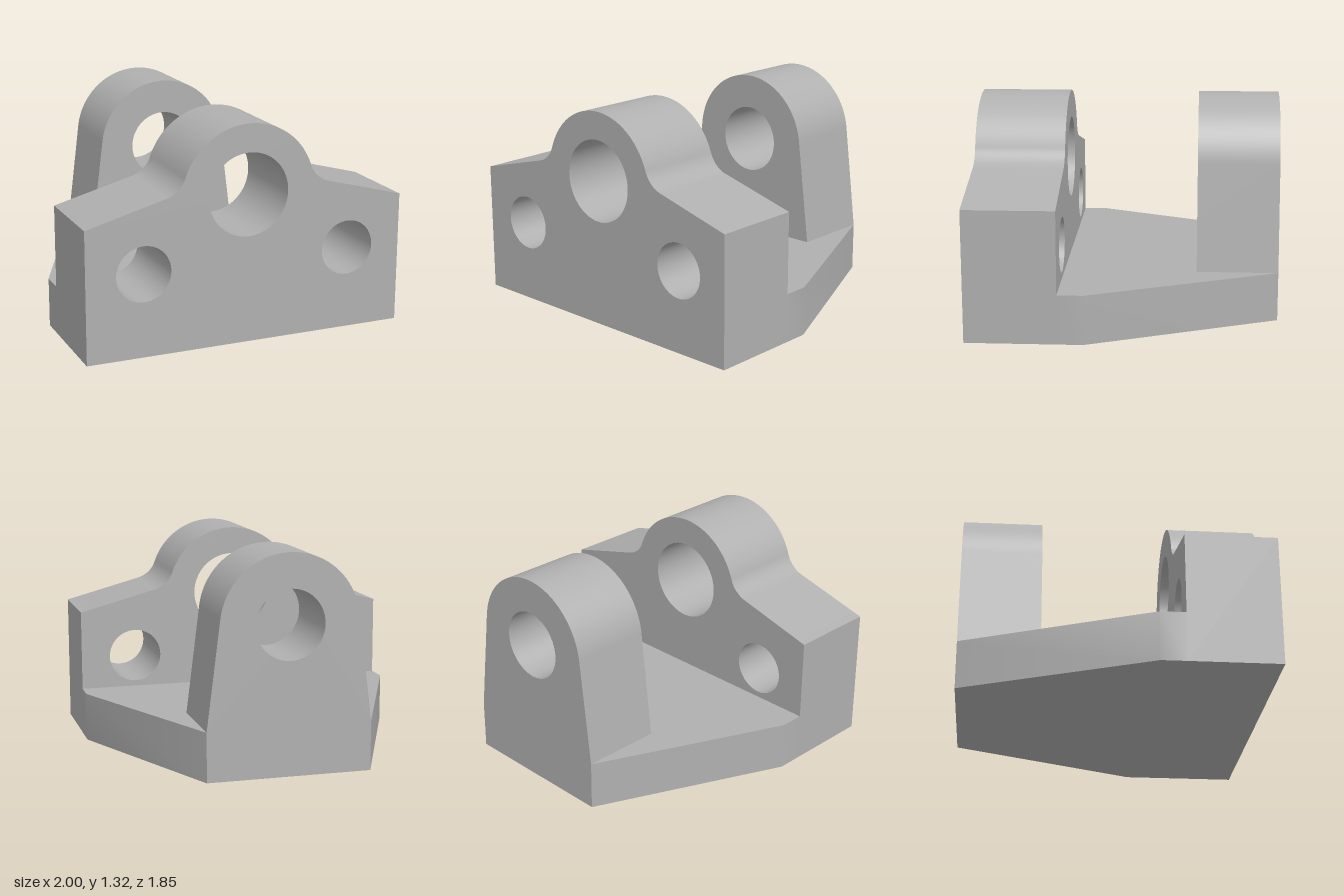
import * as THREE from 'three';
import { toCreasedNormals } from 'three/addons/utils/BufferGeometryUtils.js';

const BORE_Y = 0.9, BOSS_R = 0.42;
const BACK = -0.923, FRONT = 0.923, PLATE_BACK = 0.375, LUG_FRONT = -0.428;
const BASE_TOP = 0.3;

function addHole(shape, x, y, r) {
  const hole = new THREE.Path();
  hole.absarc(x, y, r, 0, Math.PI * 2, true);
  shape.holes.push(hole);
}

function extrude(shape, depth) {
  const geometry = new THREE.ExtrudeGeometry(shape, { depth, bevelEnabled: false, curveSegments: 48 });
  return toCreasedNormals(geometry, Math.PI / 7);
}

// Sloping shoulders blended into a round boss, with three holes
function plateShape() {
  const slope = Math.PI / 12, r = 0.17;
  const s = Math.sin(slope), c = Math.cos(slope);
  // fillet centre: touches both the shoulder line and the boss circle
  const px = 1 + r * s, py = 0.8 + r * c - BORE_Y;
  const b = -px * c + py * s;
  const t = -b - Math.sqrt(b * b - px * px - py * py + (BOSS_R + r) ** 2);
  const fx = px - t * c, fy = py + t * s + BORE_Y;
  const a = Math.atan2(fy - BORE_Y, fx);
  const foot = -Math.PI / 2 - slope;

  const shape = new THREE.Shape();
  shape.moveTo(-1, 0);
  shape.lineTo(1, 0);
  shape.lineTo(1, 0.8);
  shape.absarc(fx, fy, r, foot, a - Math.PI, true);
  shape.absarc(0, BORE_Y, BOSS_R, a, Math.PI - a, false);
  shape.absarc(-fx, fy, r, -a, -Math.PI - foot, true);
  shape.lineTo(-1, 0.8);
  shape.closePath();
  addHole(shape, 0, BORE_Y, 0.25);
  for (const side of [-1, 1]) addHole(shape, side * 0.65, 0.503, 0.167);
  return shape;
}

// Tapered lug whose straight sides run tangent into its round top
function lugShape() {
  const dx = 0.5, dy = BASE_TOP - BORE_Y;
  const a = Math.atan2(dy, dx) + Math.acos(BOSS_R / Math.hypot(dx, dy));
  const shape = new THREE.Shape();
  shape.moveTo(-dx, BASE_TOP);
  shape.lineTo(dx, BASE_TOP);
  shape.absarc(0, BORE_Y, BOSS_R, a, Math.PI - a, false);
  shape.closePath();
  addHole(shape, 0, BORE_Y, 0.21);
  return shape;
}

// Plan outline of the base, narrowing to the back (shape y is -z)
function baseShape() {
  return new THREE.Shape([
    [-1, -PLATE_BACK], [1, -PLATE_BACK], [1, -0.222],
    [0.5, -BACK], [-0.5, -BACK], [-1, -0.222],
  ].map(([x, y]) => new THREE.Vector2(x, y)));
}

export function createModel() {
  const grey = new THREE.MeshStandardMaterial({ color: 0xb0b0b0 });
  grey.name = 'machined grey';
  const model = new THREE.Group();
  model.name = 'bearingBracket';

  const add = (name, geometry) => {
    const mesh = new THREE.Mesh(geometry, grey);
    mesh.name = name;
    model.add(mesh);
    return mesh;
  };

  add('frontPlate', extrude(plateShape(), FRONT - PLATE_BACK)).position.z = PLATE_BACK;
  add('rearLug', extrude(lugShape(), LUG_FRONT - BACK)).position.z = BACK;
  add('base', extrude(baseShape(), BASE_TOP)).rotation.x = -Math.PI / 2;
  return model;
}
